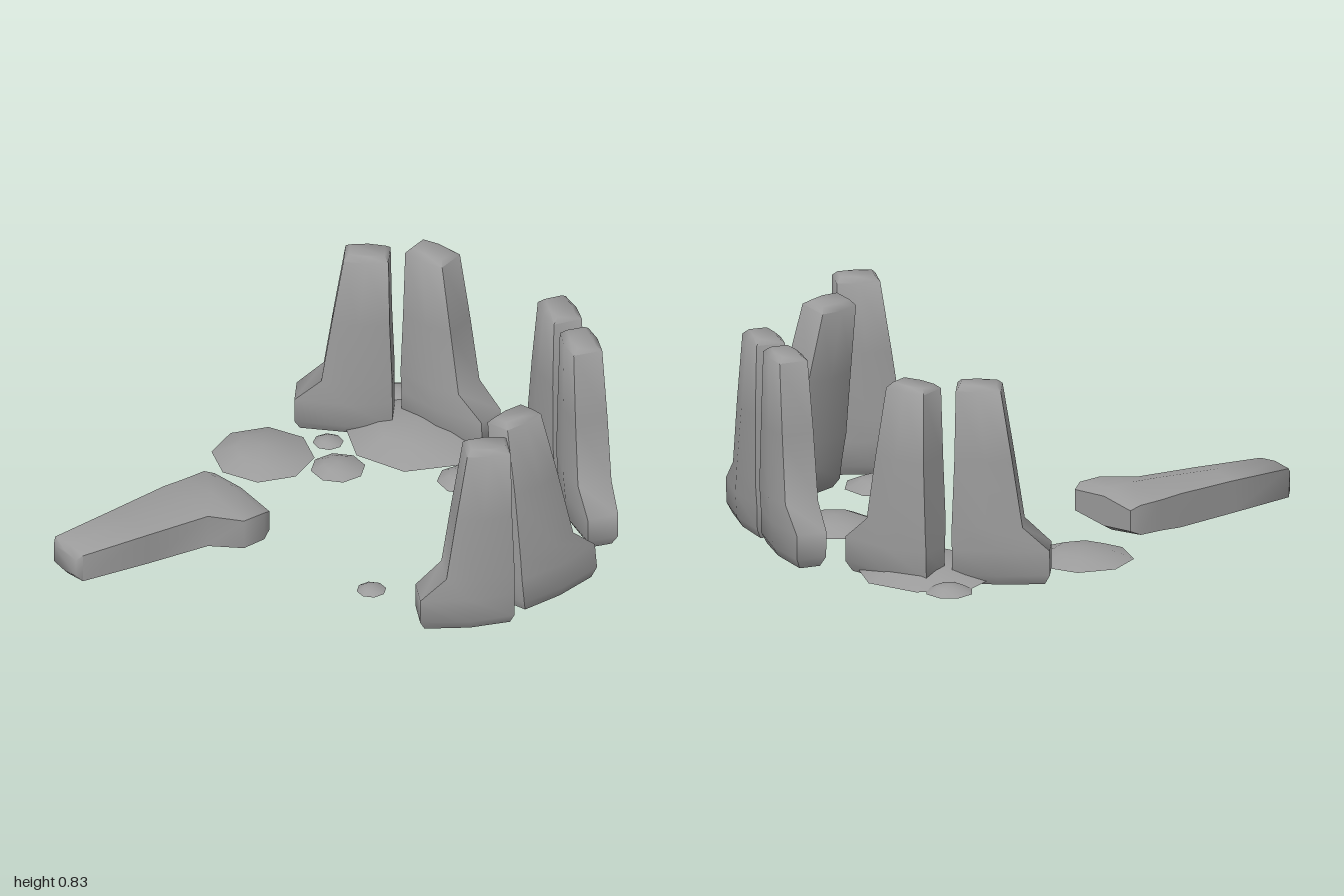
import * as THREE from 'three';
import { toCreasedNormals } from 'three/addons/utils/BufferGeometryUtils.js';

const material = new THREE.MeshStandardMaterial({ color: 0x9c9c9c });

// Boot-shaped standing stone: x runs from its straight edge to its foot, y is up.
// Each level: height, straight edge, bulge position, foot edge, end and middle half thickness.
const LEVELS = [
  [0, 0.015, 0.18, 0.36, 0.042, 0.06],
  [0.04, 0, 0.18, 0.38, 0.06, 0.084],
  [0.14, 0, 0.18, 0.38, 0.062, 0.09],
  [0.235, 0, 0.16, 0.275, 0.068, 0.092],
  [0.5, 0.01, 0.13, 0.235, 0.065, 0.082],
  [0.78, 0.015, 0.1, 0.19, 0.058, 0.068],
  [0.8, 0.032, 0.1, 0.172, 0.036, 0.046],
];

function stoneGeometry() {
  const pos = [], index = [], n = 6, last = (LEVELS.length - 1) * n;
  for (const [y, u0, um, u1, e, m] of LEVELS) {
    const ring = [[u0, -e], [um, -m], [u1, -e], [u1, e], [um, m], [u0, e]];
    for (const [x, z] of ring) pos.push(x, y, z);
  }
  for (let j = 0; j < LEVELS.length - 1; j++) {
    for (let i = 0; i < n; i++) {
      const a = j * n + i, b = j * n + (i + 1) % n;
      index.push(a, a + n, b + n, a, b + n, b);
    }
  }
  // bottom and top caps
  for (let i = 1; i < n - 1; i++) {
    index.push(0, i, i + 1, last, last + i + 1, last + i);
  }
  const geo = new THREE.BufferGeometry();
  geo.setAttribute('position', new THREE.Float32BufferAttribute(pos, 3));
  geo.setIndex(index);
  return toCreasedNormals(geo, 1.0);
}

// Low faceted lens, slightly bulged underneath
function moundGeometry(r, h) {
  const profile = [[0, -0.01], [r * 0.6, -0.008], [r, 0], [r * 0.55, h * 0.75], [0, h]];
  const geo = new THREE.LatheGeometry(profile.map(([x, y]) => new THREE.Vector2(x, y)), 8);
  geo.deleteAttribute('normal');
  geo.deleteAttribute('uv');
  return toCreasedNormals(geo, 0.6);
}

export function createModel() {
  const group = new THREE.Group();
  const stone = stoneGeometry();

  // Stones: name, straight end x/z, foot end x/z, base height, tilt
  const stones = [
    ['backRightStoneInner', -0.485, -0.76, -0.105, -0.82, 0.032, 0],
    ['backRightStoneOuter', -0.48, -0.66, -0.765, -0.41, 0.032, 0],
    ['backLeftStoneInner', 0.345, -0.8, 0, -0.95, 0.032, 0],
    ['backLeftStoneOuter', 0.38, -0.785, 0.712, -0.62, 0.032, 0],
    ['leftStoneLeaning', 0.76, -0.095, 0.775, -0.475, 0.015, -0.15],
    ['leftStoneFront', 0.81, -0.03, 0.593, 0.267, 0.032, 0],
    ['fallenStone', -0.615, 0.19, -0.238, 0.235, 0.1, Math.PI / 2],
  ];
  for (const [name, x, z, fx, fz, y, tilt] of stones) {
    const mesh = new THREE.Mesh(stone, material);
    mesh.name = name;
    mesh.position.set(x, y, z);
    mesh.rotation.set(tilt, Math.atan2(z - fz, fx - x), 0, 'YXZ');
    mesh.scale.x = Math.hypot(fx - x, fz - z) / 0.38;
    group.add(mesh);
  }

  // Ground mounds: x, z, radius, height, turn
  const mounds = [
    [-0.365, -0.675, 0.285, 0.06, -0.17],
    [-0.67, -0.14, 0.2, 0.045, -0.1],
    [-0.61, -0.81, 0.095, 0.03, 0.4],
    [-0.56, -0.385, 0.06, 0.02, 0.1],
    [-0.4, -0.28, 0.107, 0.03, 0.2],
    [0, -0.57, 0.107, 0.03, 0.15],
    [0.295, -0.53, 0.187, 0.045, 0.35],
    [0.52, -0.05, 0.145, 0.04, 0.3],
    [0.31, 0.24, 0.058, 0.02, 0.2],
  ];
  mounds.forEach(([x, z, r, h, turn], i) => {
    const mesh = new THREE.Mesh(moundGeometry(r, h), material);
    mesh.name = `groundMound${i + 1}`;
    mesh.position.set(x, 0.045, z);
    mesh.rotation.y = turn;
    group.add(mesh);
  });

  return group;
}
